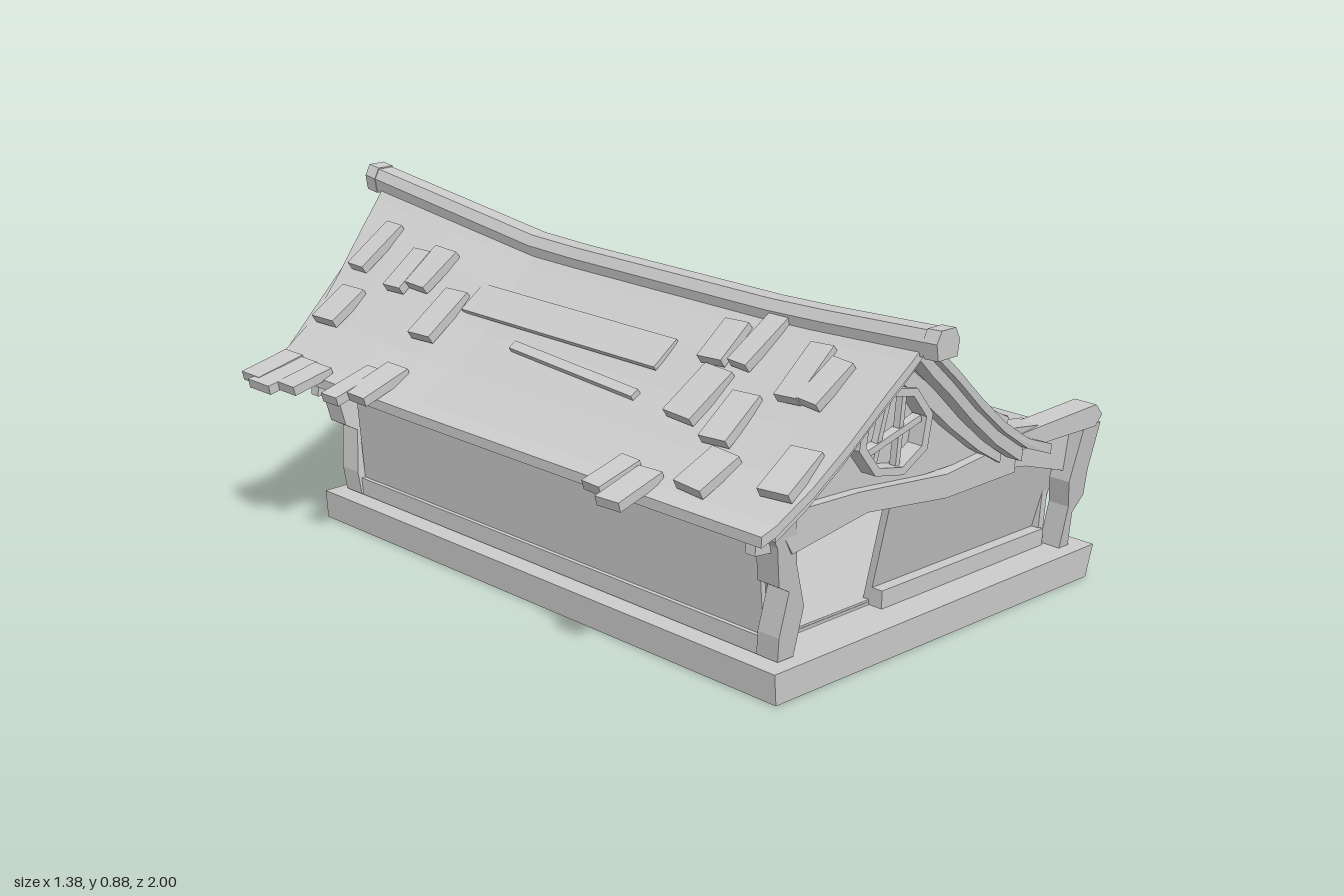
import * as THREE from 'three';

const RIDGE_X = -0.12;
// roof height against distance from the ridge
const PROFILE = [[0, 0.78], [0.05, 0.735], [0.12, 0.68], [0.22, 0.595], [0.32, 0.52], [0.42, 0.46], [0.52, 0.425], [0.6, 0.41]];
const LEFT_SPAN = 0.46, RIGHT_SPAN = 0.52;

function roofY(d) {
  for (let i = 1; i < PROFILE.length; i++) {
    const [a, ya] = PROFILE[i - 1], [b, yb] = PROFILE[i];
    if (d <= b) return ya + (yb - ya) * (d - a) / (b - a);
  }
  return 0.41;
}
const lift = (z) => (z > 0 ? Math.max(0, z - 0.55) * 0.05 : Math.max(0, -z - 0.3) * 0.115);
const roofLift = (d, z) => lift(z) * Math.max(0, 1 - d / 0.5);

export function createModel() {
  const model = new THREE.Group();
  const material = new THREE.MeshStandardMaterial({ color: 0xcccccc, flatShading: true, side: THREE.DoubleSide });

  function add(name, geometry, parent = model) {
    const mesh = new THREE.Mesh(geometry, material);
    mesh.name = name;
    parent.add(mesh);
    return mesh;
  }
  function box(name, w, h, d, x, y, z, parent = model) {
    const mesh = add(name, new THREE.BoxGeometry(w, h, d), parent);
    mesh.position.set(x, y, z);
    return mesh;
  }
  // outline in x/y, extruded from z0 to z1
  function prism(points, z0, z1, steps = 1, hole) {
    const shape = new THREE.Shape(points.map(([x, y]) => new THREE.Vector2(x, y)));
    if (hole) shape.holes.push(new THREE.Path(hole.map(([x, y]) => new THREE.Vector2(x, y))));
    const g = new THREE.ExtrudeGeometry(shape, { depth: z1 - z0, steps, bevelEnabled: false });
    return g.translate(0, 0, z0);
  }
  function warp(g, rule) {
    const p = g.attributes.position, v = new THREE.Vector3();
    for (let i = 0; i < p.count; i++) {
      rule(v.fromBufferAttribute(p, i));
      p.setXYZ(i, v.x, v.y, v.z);
    }
    g.computeVertexNormals();
    return g;
  }
  // flare toward the ridge ends, and lift of the ridge
  const flare = (v) => {
    const d = Math.abs(v.x - RIDGE_X);
    v.z *= v.z > 0 ? 0.95 - 0.11 * Math.min(d, 0.5) : 0.95 - Math.min(0.09, d * 0.28);
    v.y += roofLift(d, v.z);
  };
  // outward lean of the end walls and posts
  const lean = (s, k) => (v) => { v.z += s * (v.y - 0.08) * k; };
  // band that follows the roof curve between two depths below it
  function roofBand(top, bottom, leftSpan, rightSpan) {
    const inner = [-0.42, -0.32, -0.22, -0.12, -0.05, 0, 0.05, 0.12, 0.22, 0.32, 0.42];
    const ds = [-leftSpan, ...inner.filter((d) => d > -leftSpan && d < rightSpan), rightSpan];
    const row = (drop) => ds.map((d) => [RIDGE_X + d, roofY(Math.abs(d)) - drop]);
    return [...row(top), ...row(bottom).reverse()];
  }

  // base and floor
  add('base', prism([[-0.45, 0], [0.66, 0], [0.685, 0.08], [-0.455, 0.075]], -0.825, 0.825));
  box('floor', 0.98, 0.02, 1.4, 0.12, 0.08, 0);

  // walls, the front one with a doorway
  const wall = [[-0.38, 0.08], [0.61, 0.08], [0.63, 0.37], [0.42, 0.4], [-0.4, 0.41]];
  const door = [[-0.31, 0.085], [-0.01, 0.085], [-0.01, 0.348], [-0.31, 0.348]];
  add('frontWall', warp(prism(wall, 0.68, 0.7, 1, door), lean(1, 0.22)));
  add('backWall', warp(prism(wall, -0.7, -0.68), lean(-1, 0.22)));
  add('rightWall', prism([[0.58, 0.08], [0.6, 0.08], [0.63, 0.37], [0.61, 0.37]], -0.73, 0.73));
  add('leftWall', prism([[-0.39, 0.08], [-0.36, 0.08], [-0.38, 0.44], [-0.42, 0.44]], -0.73, 0.73));
  add('rightTopBeam', prism([[0.605, 0.345], [0.645, 0.345], [0.65, 0.375], [0.605, 0.38]], -0.76, 0.76));
  for (const x of [0.605, -0.39]) box('sideSill', 0.03, 0.045, 1.46, x, 0.1, 0);
  box('backSill', 0.98, 0.045, 0.06, 0.11, 0.1, -0.725);
  box('frontSill', 0.6, 0.045, 0.05, 0.29, 0.1, 0.715);

  // timber ends: posts, beams, gables and round windows, front and back
  const leftPost = [[-0.41, 0.08], [-0.36, 0.08], [-0.345, 0.2], [-0.385, 0.31], [-0.41, 0.45], [-0.51, 0.455], [-0.455, 0.37], [-0.435, 0.27], [-0.4, 0.25], [-0.415, 0.14]];
  const rightPost = [[0.6, 0.08], [0.635, 0.08], [0.63, 0.17], [0.665, 0.21], [0.665, 0.28], [0.685, 0.4], [0.62, 0.4], [0.595, 0.26], [0.61, 0.19]];
  const tieBeam = [[-0.41, 0.345], [-0.17, 0.38], [0.1, 0.347], [0.35, 0.35], [0.35, 0.43], [0.1, 0.405], [-0.2, 0.435], [-0.47, 0.445]];
  const sideBracket = [[0.33, 0.35], [0.45, 0.33], [0.61, 0.28], [0.665, 0.3], [0.685, 0.385], [0.33, 0.405]];
  const frontSideBeam = [[0.34, 0.4], [0.66, 0.395], [0.685, 0.42], [0.66, 0.45], [0.36, 0.44]];
  const backSideBeam = [[0.34, 0.37], [0.66, 0.365], [0.685, 0.39], [0.67, 0.415], [0.36, 0.42]];
  add('sideBracket', prism(sideBracket, 0.745, 0.785));
  for (const s of [1, -1]) {
    const end = new THREE.Group();
    end.name = s > 0 ? 'frontEnd' : 'backEnd';
    model.add(end);
    const span = (a, b) => (s > 0 ? [a, b] : [-b, -a]);
    add('leftPost', warp(prism(leftPost, ...span(0.725, 0.79)), lean(s, 0.13)), end);
    add('rightPost', warp(prism(rightPost, ...span(0.725, 0.785)), lean(s, 0.13)), end);
    box('postPeg', 0.09, 0.025, 0.03, -0.455, 0.365, s * 0.79, end).rotation.z = -0.1;
    add('tieBeam', prism(tieBeam, ...span(0.745, 0.83)), end);
    add('sideBeam', prism(s > 0 ? frontSideBeam : backSideBeam, ...span(0.765, 0.83)), end);
    const gable = roofBand(0.03, 0.03, 0.42, 0.44).slice(0, 11);
    add('gableWall', prism([...gable, [0.3, 0.41], [-0.5, 0.41]], ...span(0.78, 0.805)), end);
    add('bargeBoard', warp(prism(roofBand(0.015, 0.06, 0.4, 0.43), ...span(0.93, 0.975)), flare), end);
    add('innerRafter', prism(roofBand(0.03, 0.08, 0.34, 0.4), ...span(0.79, 0.84)), end);

    const round = new THREE.Group();
    round.name = 'roundWindow';
    round.position.set(-0.1, 0.555, s * 0.825);
    round.rotation.z = -0.2;
    end.add(round);
    const ring = (r) => Array.from({ length: 8 }, (_, i) => {
      const a = (i + 0.5) * Math.PI / 4;
      return [r * 1.1 * Math.cos(a), r * 0.93 * Math.sin(a)];
    });
    add('windowRim', prism(ring(0.115), -0.022, 0.022, 1, ring(0.094)), round);
    for (const x of [-0.035, 0.03]) box('windowBar', 0.014, 0.18, 0.018, x, 0, 0, round).rotation.z = x * 3;
    box('windowRail', 0.2, 0.016, 0.024, 0, -0.015, 0, round).rotation.z = 0.45;
  }

  // lattice windows on the right wall
  for (const z of [0.48, -0.51]) {
    const win = new THREE.Group();
    win.name = 'latticeWindow';
    win.position.set(0.63, 0.245, z);
    win.rotation.set(0.04, 0, -0.1);
    model.add(win);
    for (const dz of [-0.075, 0.075]) box('windowStile', 0.035, 0.18, 0.02, 0, 0, dz, win);
    box('windowLintel', 0.05, 0.025, 0.2, 0.005, 0.08, 0, win);
    box('windowLedge', 0.04, 0.022, 0.18, 0.003, -0.08, 0, win);
    for (const dz of [-0.025, 0.025]) box('windowBar', 0.02, 0.16, 0.012, 0, 0, dz, win).rotation.x = dz * 2;
    box('windowRail', 0.025, 0.014, 0.15, 0, -0.01, 0, win).rotation.x = 0.08;
  }

  // curved roof slab and ridge beam
  add('roof', warp(prism(roofBand(0, 0.025, LEFT_SPAN, RIGHT_SPAN), -1, 1, 12), flare));
  const ridge = [[-0.022, 0.8], [-0.036, 0.775], [-0.03, 0.74], [0.03, 0.74], [0.036, 0.775], [0.022, 0.8]]
    .map(([x, y]) => [x + RIDGE_X, y]);
  add('ridgeBeam', warp(prism(ridge, -0.995, 0.995, 12), (v) => { v.y += lift(v.z); }));
  for (const s of [1, -1]) {
    const cap = ridge.map(([x, y]) => [RIDGE_X + (x - RIDGE_X) * 1.05, 0.768 + (y - 0.768) * 1.1]);
    add('ridgeCap', warp(prism(cap, s * 0.98 - 0.02, s * 0.98 + 0.02), (v) => { v.y += lift(v.z); }));
  }

  // side roof over the right wall, folded along its diagonal
  const side = new THREE.BufferGeometry();
  const A = [0.4, 0.415, 0.77], B = [0.645, 0.375, 0.77], C = [0.645, 0.375, -0.77], D = [0.4, 0.415, 0.55], E = [0.4, 0.4, -0.77];
  side.setAttribute('position', new THREE.Float32BufferAttribute([A, B, D, B, C, D, D, C, E].flat(2), 3));
  side.computeVertexNormals();
  add('sideRoof', side);

  // piece lying on the roof slope, centred at x, z
  function onRoof(name, x, z, w, h, d, turn) {
    const s = x < RIDGE_X ? -1 : 1, dist = Math.abs(x - RIDGE_X);
    const slope = s * (roofY(dist + 0.05) - roofY(Math.max(0, dist - 0.05))) / 0.1;
    const holder = new THREE.Group();
    holder.name = name + 'Holder';
    holder.position.set(x, roofY(dist) + roofLift(dist, z) + h * 0.6, z);
    holder.rotation.z = Math.atan(slope) + s * 0.08;
    model.add(holder);
    box(name, w, h, d, 0, 0, 0, holder).rotation.y = turn;
  }

  // scattered roof shingles as x, z pairs
  const leftTiles = [[-0.61, -0.81], [-0.62, -0.75], [-0.61, -0.67], [-0.58, -0.51], [-0.55, -0.45], [-0.41, -0.79], [-0.27, -0.81], [-0.29, -0.65], [-0.27, -0.58], [-0.35, -0.45],
    [-0.57, 0.43], [-0.59, 0.51], [-0.34, 0.47], [-0.23, 0.44], [-0.21, 0.53], [-0.37, 0.6], [-0.49, 0.65], [-0.25, 0.71], [-0.26, 0.78], [-0.44, 0.85]];
  const rightTiles = [[0.05, -0.8], [0.04, -0.72], [0.04, -0.6], [0.02, -0.5], [0.13, -0.45], [0.15, -0.39], [0.24, -0.82], [0.2, -0.62], [0.38, -0.48], [0.36, -0.4],
    [0.08, 0.38], [0, 0.46], [0.12, 0.47], [0, 0.55], [0.35, 0.5], [0.07, 0.66], [0.37, 0.69], [0.12, 0.77], [0.22, 0.81], [0.4, 0.79], [0.05, 0.83]];
  [...leftTiles, ...rightTiles].forEach(([x, z], i) => {
    onRoof('shingle', x, z, 0.14 + 0.02 * Math.sin(i * 2.3), 0.024, 0.075 + 0.015 * Math.sin(i * 1.7), 0.12 * Math.sin(i * 3.1));
  });

  // long loose boards on the left slope
  onRoof('roofBoard', -0.28, -0.05, 0.09, 0.012, 0.7, 0);
  onRoof('roofBoard', -0.365, 0.07, 0.025, 0.014, 0.46, -0.06);

  return model;
}
